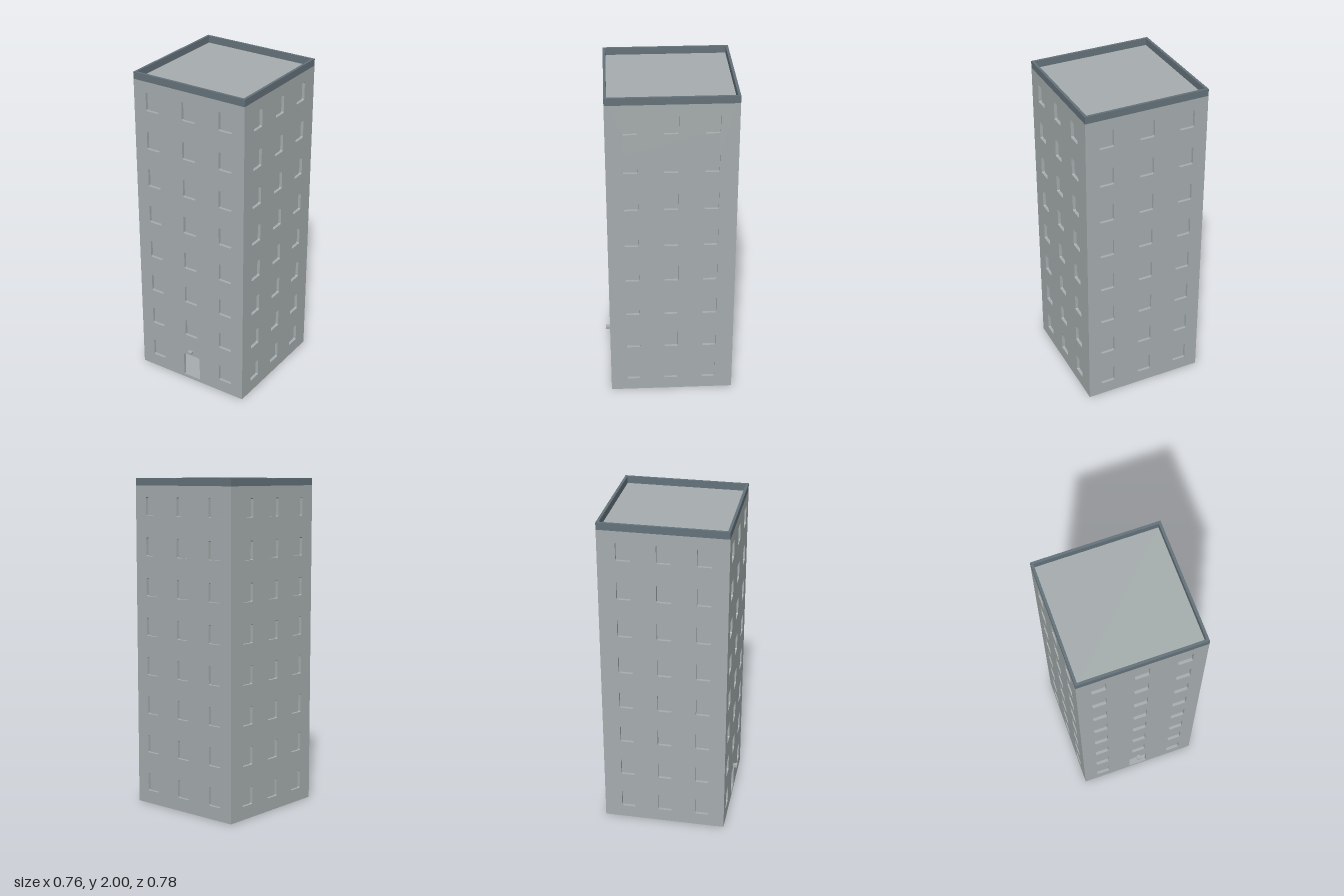
import * as THREE from 'three';

const HALF = 0.378;      // half the width of the square tower
const WALL = 0.02;       // wall thickness
const ROOF = 1.957;      // roof level, bottom of the parapet
const CENTRE_Z = -0.0165;
const WIN_W = 0.088, WIN_H = 0.111;

function rectangle(target, x0, y0, x1, y1) {
  target.moveTo(x0, y0);
  target.lineTo(x1, y0);
  target.lineTo(x1, y1);
  target.lineTo(x0, y1);
  target.closePath();
  return target;
}

// Opening with its corners cut off by c at the bottom and t at the top
function opening(cx, y0, w, h, c, t) {
  const x0 = cx - w / 2, x1 = cx + w / 2, y1 = y0 + h;
  const p = new THREE.Path();
  p.moveTo(x0 + c, y0);
  p.lineTo(x1 - c, y0);
  if (c) p.lineTo(x1, y0 + c);
  p.lineTo(x1, y1 - t);
  p.lineTo(x1 - t, y1);
  p.lineTo(x0 + t, y1);
  p.lineTo(x0, y1 - t);
  if (c) p.lineTo(x0, y0 + c);
  p.closePath();
  return p;
}

export function createModel() {
  const stone = new THREE.MeshStandardMaterial({ color: 0xa6adae });
  stone.name = 'pale grey stone';
  const slate = new THREE.MeshStandardMaterial({ color: 0x64727a });
  slate.name = 'dark slate';

  const building = new THREE.Group();
  building.name = 'towerBlock';

  const add = (parent, name, geometry, material, x = 0, y = 0, z = 0) => {
    const mesh = new THREE.Mesh(geometry, material);
    mesh.name = name;
    mesh.position.set(x, y, z);
    parent.add(mesh);
    return mesh;
  };

  // One wall with its grid of recessed windows, facing local +z
  const paneGeometry = new THREE.BoxGeometry(WIN_W, WIN_H, 0.004);
  function addWall(name, angle, halfWidth, spacing, shift, hasDoor) {
    const wall = new THREE.Group();
    wall.name = name;
    wall.rotation.y = angle;
    wall.position.z = CENTRE_Z;
    building.add(wall);

    const shape = rectangle(new THREE.Shape(), -halfWidth, 0, halfWidth, ROOF);
    for (let row = 0; row < 8; row++) {
      for (let col = -1; col <= 1; col++) {
        if (hasDoor && row === 0 && col === 0) continue;
        const x = col * spacing + shift, y = 0.136 + row * 0.2424;
        shape.holes.push(opening(x, y - WIN_H / 2, WIN_W, WIN_H, 0.005, 0.005));
        add(wall, 'windowPane', paneGeometry, stone, x, y, HALF - WALL);
      }
    }
    // Open doorway
    if (hasDoor) shape.holes.push(opening(0, 0.021, 0.12, 0.16, 0, 0.012));

    const geometry = new THREE.ExtrudeGeometry(shape, { depth: WALL, bevelEnabled: false });
    add(wall, name + 'Panel', geometry, stone, 0, 0, HALF - WALL);
  }
  addWall('frontWall', 0, HALF, 0.251, 0, true);
  addWall('backWall', Math.PI, HALF, 0.251, 0, false);
  addWall('rightWall', -Math.PI / 2, HALF - WALL, 0.233, 0.006, false);
  addWall('leftWall', Math.PI / 2, HALF - WALL, 0.233, -0.006, false);

  // Floor and roof slabs close the hollow tower
  const inner = 2 * (HALF - WALL);
  const slab = new THREE.BoxGeometry(inner, WALL, inner);
  add(building, 'floor', slab, stone, 0, WALL / 2, CENTRE_Z);
  add(building, 'roof', slab, stone, 0, ROOF - WALL / 2, CENTRE_Z);

  // Parapet ring around the roof
  const ring = rectangle(new THREE.Shape(), -HALF, -HALF, HALF, HALF);
  const rim = HALF - 0.0155;
  ring.holes.push(rectangle(new THREE.Path(), -rim, -rim, rim, rim));
  const ringGeometry = new THREE.ExtrudeGeometry(ring, { depth: 2 - ROOF, bevelEnabled: false });
  ringGeometry.rotateX(-Math.PI / 2);
  add(building, 'parapet', ringGeometry, slate, 0, ROOF, CENTRE_Z);

  // Lamp above the doorway on a small mount
  add(building, 'doorLamp', new THREE.BoxGeometry(0.027, 0.017, 0.025), stone, 0, 0.213, 0.378);
  add(building, 'lampMount', new THREE.BoxGeometry(0.006, 0.006, 0.008), stone, 0, 0.213, 0.363);

  return building;
}
